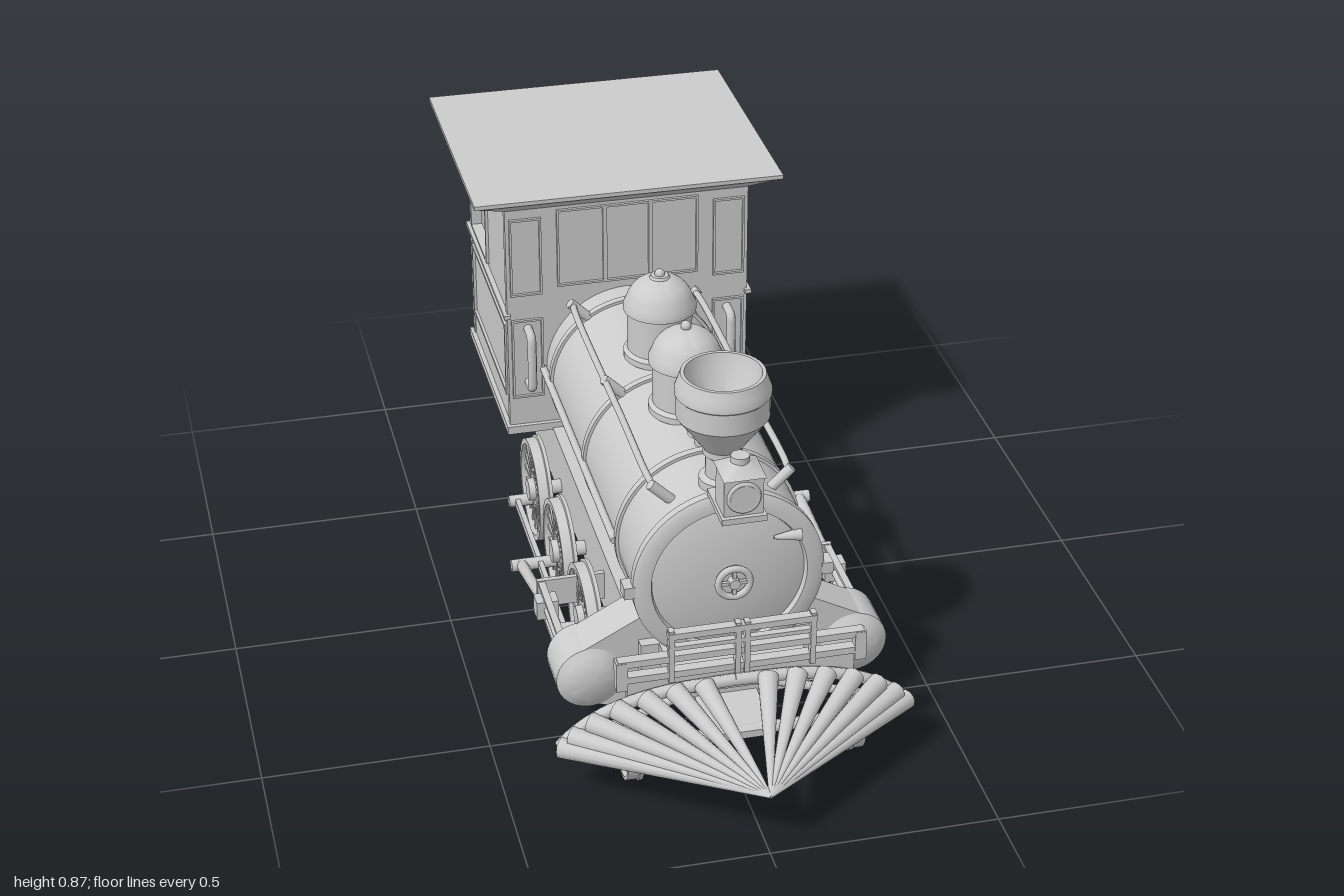
import * as THREE from 'three';
import { toCreasedNormals } from 'three/addons/utils/BufferGeometryUtils.js';

const CX = 0.018; // engine centre line
const mat = new THREE.MeshStandardMaterial({ color: 0xcccccc, side: THREE.DoubleSide });
const V = (x, y, z) => new THREE.Vector3(x, y, z);

function add(parent, name, geo, x = 0, y = 0, z = 0, rx = 0, ry = 0, rz = 0) {
  const m = new THREE.Mesh(geo, mat);
  m.name = name;
  m.position.set(x, y, z);
  m.rotation.set(rx, ry, rz);
  parent.add(m);
  return m;
}
const box = (w, h, d) => new THREE.BoxGeometry(w, h, d);
const cyl = (r1, r2, h, n = 24) => new THREE.CylinderGeometry(r1, r2, h, n);
const lathe = (pts, n = 40) =>
  toCreasedNormals(new THREE.LatheGeometry(pts.map(p => new THREE.Vector2(...p)), n), 0.6);
const tube = (pts, r, n = 24) => new THREE.TubeGeometry(new THREE.CatmullRomCurve3(pts), n, r, 8);
const poly = pts => new THREE.Shape(pts.map(p => new THREE.Vector2(...p)));
const rect = ([x0, y0, x1, y1]) => poly([[x0, y0], [x1, y0], [x1, y1], [x0, y1]]);
function extrude(shape, depth, holes = []) {
  shape.holes.push(...holes);
  return new THREE.ExtrudeGeometry(shape, { depth, bevelEnabled: false });
}
// raised border around a rectangle
const trim = ([a, b, c, d], depth = 0.01, t = 0.008) =>
  extrude(rect([a - t, b - t, c + t, d + t]), depth, [rect([a, b, c, d])]);
// straight rod between two points
function rod(parent, name, a, b, ra, rb = ra, n = 10) {
  const m = add(parent, name, cyl(rb, ra, a.distanceTo(b), n));
  m.position.copy(a).lerp(b, 0.5);
  m.quaternion.setFromUnitVectors(V(0, 1, 0), b.clone().sub(a).normalize());
  return m;
}

function wheel(parent, name, r, spokes, x, y, z, s) {
  const g = new THREE.Group();
  g.name = name;
  const i = r * 0.85, w = 0.017;
  add(g, 'rim', lathe([[i, -w], [r, -w], [r, -w * 0.5], [r * 0.96, -w * 0.4], [r * 0.95, w], [i, w], [i, -w]]), 0, 0, 0, Math.PI / 2);
  add(g, 'hub', cyl(r * 0.2, r * 0.24, 0.045), 0, 0, 0, Math.PI / 2);
  for (let k = 0; k < spokes; k++) {
    const a = k / spokes * Math.PI * 2, m = r * 0.53;
    add(g, 'spoke', box(r * 0.7, r * 0.075, 0.014), Math.cos(a) * m, Math.sin(a) * m, 0, 0, 0, a);
  }
  g.position.set(x, y, z);
  g.rotation.y = s * Math.PI / 2;
  parent.add(g);
}

function boiler(g) {
  add(g, 'boiler', lathe([[0.2, -0.42], [0.2, 0.545], [0.211, 0.545], [0.211, 0.565], [0.2, 0.572], [0.172, 0.572],
    [0.168, 0.56], [0.14, 0.568], [0.08, 0.577], [0, 0.58]], 56), 0, 0.41, 0, Math.PI / 2);
  for (const z of [0.37, 0.03, -0.34])
    add(g, 'boilerBand', lathe([[0.199, -0.009], [0.207, -0.009], [0.207, 0.009], [0.199, 0.009]], 56), 0, 0.41, z, Math.PI / 2);
  // door wheel and latch
  add(g, 'doorWheel', new THREE.TorusGeometry(0.035, 0.008, 8, 28), 0.005, 0.41, 0.59);
  add(g, 'doorBoss', cyl(0.012, 0.012, 0.03), 0.005, 0.41, 0.585, Math.PI / 2);
  for (const a of [0, Math.PI / 2]) add(g, 'doorWheelSpoke', box(0.07, 0.008, 0.008), 0.005, 0.41, 0.59, 0, 0, a);
  rod(g, 'doorLatch', V(0.155, 0.5, 0.572), V(0.095, 0.502, 0.575), 0.015, 0.004);
  // domes and bell
  const dome = [[0.083, 0], [0.083, 0.015], [0.074, 0.022], [0.074, 0.115], [0.083, 0.12], [0.083, 0.132]];
  for (let k = 1; k <= 8; k++) dome.push([0.078 * Math.cos(k * Math.PI / 16), 0.132 + 0.068 * Math.sin(k * Math.PI / 16)]);
  for (const z of [0.17, -0.08]) {
    add(g, 'dome', lathe(dome), 0, 0.605, z);
    add(g, 'domeFinial', new THREE.SphereGeometry(0.012, 12, 8), 0, 0.81, z);
  }
  add(g, 'domeCollar', cyl(0.02, 0.025, 0.01), 0, 0.803, -0.08);
  add(g, 'bell', lathe([[0.02, 0], [0.02, 0.03], [0.036, 0.03], [0.03, 0.045], [0.012, 0.075], [0.006, 0.09], [0, 0.093]], 20), 0, 0.605, 0.335);
  // funnel with open top
  add(g, 'chimney', lathe([[0.05, -0.02], [0.05, 0.012], [0.036, 0.018], [0.036, 0.065], [0.042, 0.07], [0.042, 0.085], [0.1, 0.165],
    [0.1, 0.215], [0.103, 0.218], [0.103, 0.226], [0.098, 0.24], [0.09, 0.263], [0.082, 0.263], [0.075, 0.23], [0.03, 0.14], [0, 0.13]]), 0, 0.612, 0.496);
  // headlamp
  add(g, 'lampShelf', box(0.097, 0.014, 0.13), 0, 0.627, 0.622);
  add(g, 'lampBracket', box(0.05, 0.05, 0.04), 0, 0.6, 0.575);
  add(g, 'lampBody', box(0.085, 0.09, 0.07), 0, 0.679, 0.642);
  add(g, 'lampRoof', cyl(0.025, 0.065, 0.022, 4), 0, 0.735, 0.642, 0, Math.PI / 4);
  add(g, 'lampVent', cyl(0.02, 0.02, 0.015), 0, 0.752, 0.642);
  add(g, 'lampRing', new THREE.TorusGeometry(0.032, 0.005, 8, 28), 0, 0.677, 0.678);
  add(g, 'lampLens', cyl(0.03, 0.03, 0.01), 0, 0.677, 0.678, Math.PI / 2);
  // rails and side pipes
  for (const s of [1, -1]) {
    add(g, 'handrail', tube([V(s * 0.11, 0.575, 0.49), V(s * 0.145, 0.61, 0.49), V(s * 0.15, 0.612, 0.46), V(s * 0.15, 0.612, 0.2),
      V(s * 0.15, 0.612, -0.3), V(s * 0.145, 0.61, -0.34), V(s * 0.11, 0.575, -0.345)], 0.008, 50));
    for (const z of [0.49, 0.03, -0.34])
      rod(g, 'railPost', V(s * 0.1, 0.565, z), V(s * 0.155, 0.618, z), 0.012);
    rod(g, 'sidePipe', V(s * 0.207, 0.41, 0.37), V(s * 0.207, 0.41, -0.42), 0.009);
    add(g, 'hingeBlock', box(0.025, 0.028, 0.04), s * 0.218, 0.402, 0.55);
  }
}

function cab(g) {
  const z0 = -0.41, z1 = -0.905, y0 = 0.25, y1 = 0.845, w = 0.289;
  const panels = [[-0.278, 0.62, -0.212, 0.81], [0.212, 0.62, 0.278, 0.81], [-0.278, 0.345, -0.212, 0.545], [0.212, 0.345, 0.278, 0.545]];
  // front wall with framed panels
  add(g, 'cabFrontWall', box(w * 2, y1 - y0, 0.02), 0, (y0 + y1) / 2, z0 - 0.01);
  for (const p of [...panels, [-0.165, 0.635, -0.06, 0.825], [-0.05, 0.635, 0.05, 0.825], [0.06, 0.635, 0.165, 0.825]])
    add(g, 'frontPanelTrim', trim(p, 0.007, 0.005), 0, 0, z0);
  // rear wall with doorway and windows
  const door = [-0.075, 0.27, 0.075, 0.81], rw = [[-0.24, 0.6, -0.15, 0.79], [0.15, 0.6, 0.24, 0.79]];
  add(g, 'cabRearWall', extrude(rect([-w, y0, w, y1]), 0.02, [door, ...rw].map(rect)), 0, 0, z1);
  for (const p of [door, ...rw, [-0.265, 0.31, -0.1, 0.53], [0.1, 0.31, 0.265, 0.53]])
    add(g, 'rearTrim', trim(p), 0, 0, z1 - 0.008);
  for (const s of [1, -1]) {
    add(g, 'rearGate', cyl(0.035, 0.035, 0.3, 20), s * 0.038, 0.415, z1 + 0.03);
    rod(g, 'rearGrabRail', V(s * 0.075, 0.27, z1 - 0.015), V(s * 0.075, 0.56, z1 - 0.015), 0.008);
  }
  // side walls with window, lower panel and grab handle
  const win = [-0.86, 0.585, -0.665, 0.8], low = [-0.86, 0.345, -0.44, 0.52];
  for (const s of [1, -1]) {
    const r = -Math.PI / 2, out = s > 0 ? w + 0.007 : -w + 0.003;
    add(g, 'cabSideWall', extrude(rect([z1, y0, z0, y1]), 0.02, [rect(win)]), s > 0 ? w : -w + 0.02, 0, 0, 0, r);
    for (const p of [win, low]) add(g, 'sideTrim', trim(p), out, 0, 0, 0, r);
    for (const z of [z0 - 0.01, z1 + 0.01]) add(g, 'cornerPost', box(0.02, y1 - y0, 0.02), s * (w - 0.007), (y0 + y1) / 2, z);
    add(g, 'grabHandle', tube([V(s * 0.243, 0.38, z0), V(s * 0.243, 0.385, z0 + 0.04), V(s * 0.243, 0.41, z0 + 0.045),
      V(s * 0.243, 0.49, z0 + 0.045), V(s * 0.243, 0.52, z0 + 0.04), V(s * 0.243, 0.525, z0)], 0.011, 30));
  }
  const zc = (z0 + z1) / 2, d = z0 - z1;
  for (const s of [1, -1]) add(g, 'cabBelt', box(0.016, 0.01, d + 0.02), s * (w + 0.004), 0.563, zc);
  for (const s of [1, -1]) add(g, 'rearBelt', box(0.2, 0.01, 0.016), s * 0.185, 0.563, z1 - 0.004);
  add(g, 'cabFloor', box(w * 2 + 0.022, 0.02, d + 0.022), 0, 0.255, zc);
  // roof flaring out from the walls
  add(g, 'roof', box(0.735, 0.01, 0.625), 0, 0.87, -0.6875);
  const flare = box(1, 0.028, 1), p = flare.attributes.position;
  for (let i = 0; i < p.count; i++) {
    const top = p.getY(i) > 0, front = p.getZ(i) > 0;
    p.setX(i, Math.sign(p.getX(i)) * (top ? 0.366 : 0.289));
    p.setZ(i, top ? (front ? -0.376 : -0.998) : (front ? z0 : z1));
  }
  flare.computeVertexNormals();
  add(g, 'roofFlare', flare, 0, 0.852, 0);
}

function chassis(g) {
  const r = -Math.PI / 2;
  add(g, 'underframe', extrude(poly([[0.55, 0.25], [0.55, 0.085], [0.4, 0.1], [-0.77, 0.1], [-0.865, 0.15], [-0.865, 0.25]]), 0.38), 0.19, 0, 0, 0, r);
  add(g, 'cylinderSaddle', extrude(poly([[-0.22, 0.078], [0.22, 0.078], [0.3, 0.1], [0.34, 0.225], [0.18, 0.31], [-0.18, 0.31], [-0.34, 0.225], [-0.3, 0.1]]), 0.1), 0, 0, 0.425);
  add(g, 'frontDeck', box(0.3, 0.05, 0.13), 0, 0.228, 0.615);
  add(g, 'ponyFrame', box(0.14, 0.018, 0.2), 0, 0.088, 0.6);
  rod(g, 'ponyAxle', V(-0.25, 0.085, 0.678), V(0.25, 0.085, 0.678), 0.014);
  const zs = [0.244, -0.037, -0.318];
  for (const z of zs) rod(g, 'driveAxle', V(-0.25, 0.134, z), V(0.25, 0.134, z), 0.018);
  for (const s of [1, -1]) {
    wheel(g, 'ponyWheel', 0.073, 14, s * 0.246, 0.083, 0.678, s);
    // steam cylinder with end covers
    add(g, 'steamCylinder', lathe([[0, -0.065], [0.06, -0.065], [0.075, -0.055], [0.075, 0.05], [0.06, 0.06], [0.045, 0.07], [0, 0.072]], 28), s * 0.297, 0.167, 0.475, Math.PI / 2);
    // cranks are out of phase from side to side
    const py = s > 0 ? 0.18 : 0.088, pz = -0.03, x = s * 0.292;
    for (const z of zs) {
      wheel(g, 'driveWheel', 0.131, 20, s * 0.248, 0.134, z, s);
      rod(g, 'crankPin', V(s * 0.25, py, z + pz), V(s * (z === zs[1] ? 0.36 : 0.312), py, z + pz), 0.015);
    }
    add(g, 'couplingRod', box(0.012, 0.02, zs[0] - zs[2]), x, py, zs[1] + pz);
    const a = V(s * 0.335, 0.167, 0.23), b = V(s * 0.335, py, zs[1] + pz);
    rod(g, 'mainRod', a, b, 0.011, 0.014);
    rod(g, 'pistonRod', V(s * 0.335, 0.167, 0.42), a, 0.009);
    add(g, 'crosshead', box(0.05, 0.045, 0.04), s * 0.335, 0.167, 0.23);
    for (const y of [0.14, 0.195]) add(g, 'guideBar', box(0.016, 0.009, 0.25), s * 0.335, y, 0.295);
    add(g, 'guideBracket', box(0.16, 0.07, 0.012), s * 0.265, 0.167, 0.175);
  }
}

function frontEnd(g) {
  // buffer beam and railing
  for (const y of [0.262, 0.302]) add(g, 'beamRail', box(0.54, 0.016, 0.024), 0, y, 0.675);
  for (const s of [1, -1]) {
    add(g, 'beamPost', box(0.025, 0.07, 0.026), s * 0.262, 0.272, 0.675);
    for (const x of [0.01, 0.155]) add(g, 'railingPost', box(0.012, 0.13, 0.018), s * x, 0.31, 0.682);
  }
  add(g, 'railingTop', box(0.325, 0.015, 0.022), 0, 0.362, 0.682);
  add(g, 'railingMiddle', box(0.325, 0.01, 0.016), 0, 0.33, 0.682);
  add(g, 'beamPlate', box(0.5, 0.05, 0.015), 0, 0.228, 0.672);
}

function cowcatcher(g) {
  // fan of tapered bars meeting at the nose
  const ends = [[0.07, 0.238], [0.135, 0.235], [0.2, 0.225], [0.262, 0.208], [0.317, 0.182], [0.358, 0.152], [0.382, 0.128]];
  const nose = V(0, 0.147, 0.995);
  for (const s of [1, -1]) {
    for (const [x, y] of ends) rod(g, 'cowcatcherBar', nose, V(s * x, y, 0.705), 0.004, 0.023, 12);
    add(g, 'cowcatcherHoop', tube([V(0, 0.235, 0.695), ...ends.map(([x, y]) => V(s * x, y - 0.005, 0.695))], 0.014, 24));
    rod(g, 'cowcatcherBrace', V(s * 0.375, 0.125, 0.698), V(s * 0.1, 0.2, 0.675), 0.01);
  }
}

export function createModel() {
  const model = new THREE.Group();
  model.name = 'steamLocomotive';
  for (const [name, build, x] of [['boilerAssembly', boiler, CX], ['cab', cab, CX], ['chassis', chassis, CX],
    ['frontBeam', frontEnd, CX], ['cowcatcher', cowcatcher, 0]]) {
    const g = new THREE.Group();
    g.name = name;
    g.position.x = x;
    build(g);
    model.add(g);
  }
  return model;
}
